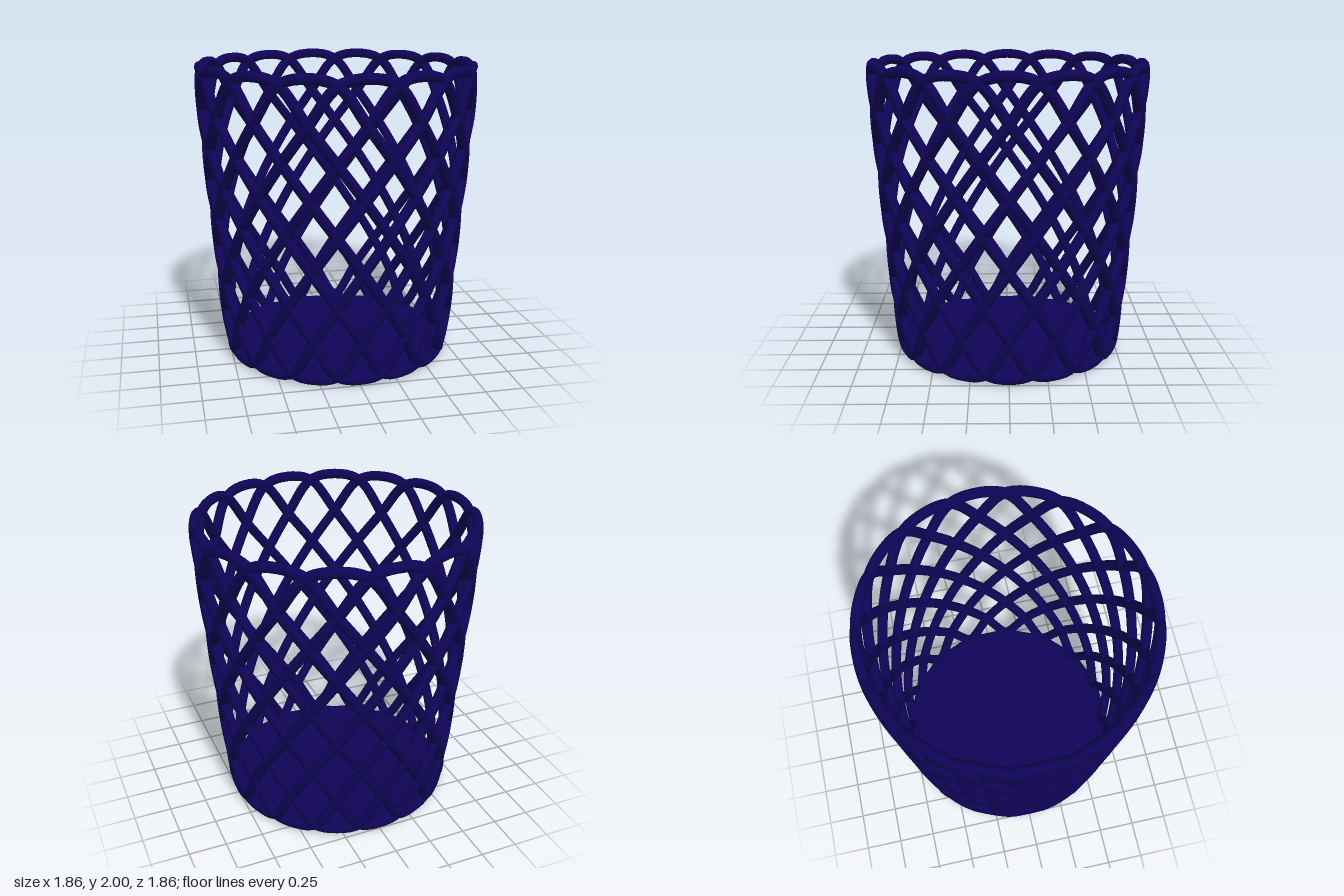
import * as THREE from 'three';

const STEP = Math.PI / 16;      // angle between neighbouring crossings
const ROWS = [0.065, 0.305, 0.54, 0.77, 1.0, 1.23, 1.46, 1.69, 1.925]; // crossing heights
const TUBE = 0.034;             // strand radius

// Wall radius of the slightly flared basket
const wall = (y) => 0.75 + 0.0845 * y;

// One endless strand: climbs, arches over the rim, descends, arches under the base, 8 times
function strandCurve(startAngle) {
  const points = [];
  let angle = startAngle;
  const add = (y, inset = 0) => {
    const r = wall(y) - inset;
    points.push(new THREE.Vector3(r * Math.sin(angle), y, r * Math.cos(angle)));
    angle += STEP;
  };
  const last = ROWS.length - 1;
  const addRow = (y, i) => add(y, i === 0 || i === last ? 0.012 : 0);
  for (let cycle = 0; cycle < 8; cycle++) {
    add(TUBE, 0.02);
    ROWS.forEach(addRow);
    add(2 - TUBE, 0.02);
    [...ROWS].reverse().forEach(addRow);
  }
  return new THREE.CatmullRomCurve3(points, true);
}

export function createModel() {
  const group = new THREE.Group();
  group.name = 'latticeBasket';
  const material = new THREE.MeshStandardMaterial({ color: 0x0f0456 });

  // Two endless strands cross each other to form the whole lattice
  for (let i = 0; i < 2; i++) {
    const strand = new THREE.Mesh(
      new THREE.TubeGeometry(strandCurve(i * 2 * STEP), 960, TUBE, 10, true), material);
    strand.name = i ? 'secondStrand' : 'firstStrand';
    group.add(strand);
  }

  // Flat floor disc
  const floor = new THREE.Mesh(new THREE.CylinderGeometry(0.73, 0.73, 0.02, 48), material);
  floor.position.y = 0.045;
  floor.name = 'floor';
  group.add(floor);

  return group;
}
